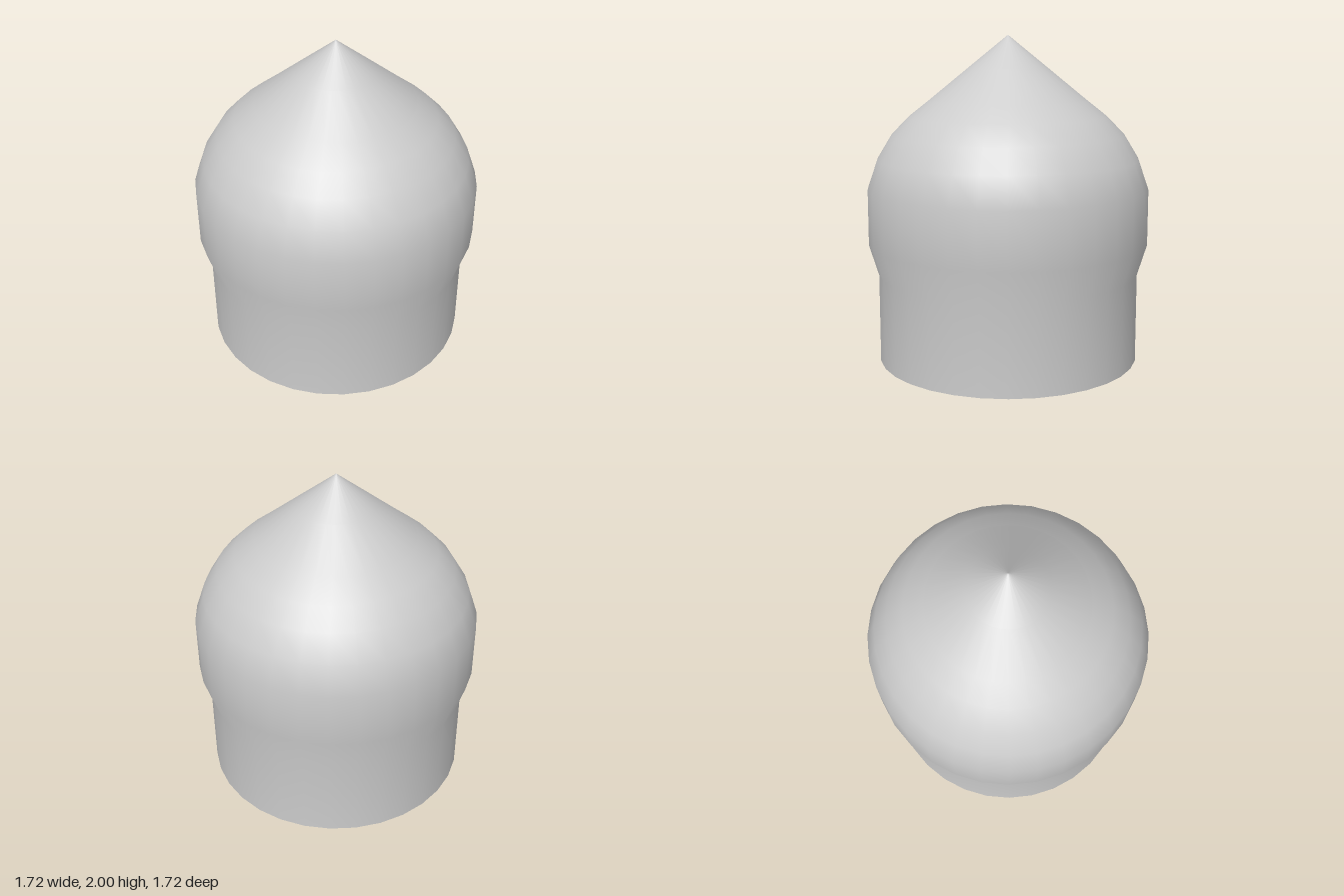
import * as THREE from 'three';

const SEGMENTS = 32;

// Revolves [radius, height] pairs around the vertical axis
function revolve(name, profile, material) {
  const points = profile.map(([r, y]) => new THREE.Vector2(r, y));
  const mesh = new THREE.Mesh(new THREE.LatheGeometry(points, SEGMENTS), material);
  mesh.name = name;
  return mesh;
}

export function createModel() {
  const group = new THREE.Group();
  group.name = 'pointedDome';
  const material = new THREE.MeshStandardMaterial({ color: 0xcccccc });

  // Straight drum swelling into a rounded dome
  group.add(revolve('domedBody', [
    [0.803, 0.005], [0.803, 0.55], [0.861, 0.74], [0.861, 1.08],
    [0.80, 1.255], [0.712, 1.4], [0.605, 1.51], [0.475, 1.613],
  ], material));

  // Pointed cap continuing the slope of the dome
  group.add(revolve('coneCap', [[0.475, 1.613], [0.24, 1.805], [0, 2]], material));

  // Flat underside
  const base = new THREE.Mesh(new THREE.CircleGeometry(0.803, SEGMENTS), material);
  base.name = 'base';
  base.rotation.x = Math.PI / 2;
  base.position.y = 0.005;
  group.add(base);

  return group;
}
